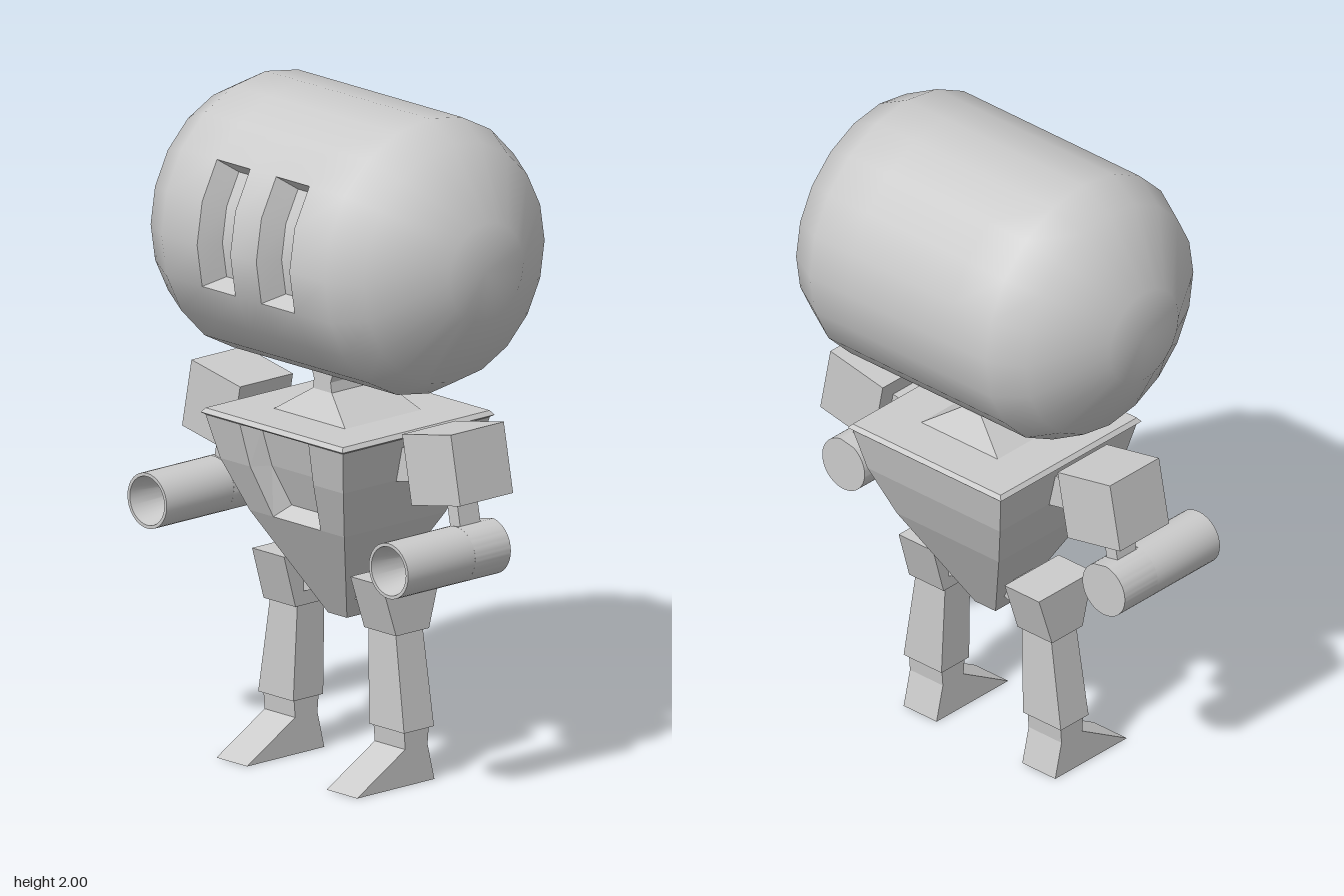
import * as THREE from 'three';
import { toCreasedNormals } from 'three/addons/utils/BufferGeometryUtils.js';

const grey = new THREE.MeshStandardMaterial({ color: 0xcccccc });

// Quads between rows of points (rows go up, points go left to right seen from outside)
function grid(rows, out = []) {
  for (let j = 0; j + 1 < rows.length; j++) {
    for (let i = 0; i + 1 < rows[j].length; i++) {
      const a = rows[j][i], b = rows[j][i + 1], c = rows[j + 1][i + 1], d = rows[j + 1][i];
      out.push(...a, ...b, ...c, ...a, ...c, ...d);
    }
  }
  return out;
}

function toGeometry(positions) {
  const g = new THREE.BufferGeometry();
  g.setAttribute('position', new THREE.Float32BufferAttribute(positions, 3));
  g.computeVertexNormals();
  return g;
}

// Closed loft through rectangles [y, x0, x1, z0, z1], listed from bottom to top
function loft(sections) {
  const ring = ([y, x0, x1, z0, z1]) =>
    [[x0, y, z1], [x1, y, z1], [x1, y, z0], [x0, y, z0], [x0, y, z1]];
  const rings = sections.map(ring);
  const out = grid(rings);
  const b = rings[0], t = rings[rings.length - 1];
  grid([[b[3], b[2]], [b[0], b[1]]], out);
  grid([[t[0], t[1]], [t[3], t[2]]], out);
  return toGeometry(out);
}

// Capsule head lying along x, with two eye recesses that follow its curve
function headGeometry() {
  const R = 0.412, floorR = 0.34, cy = 1.59;
  const end = [[0.585, 0], [0.585, 0.147], [0.45, 0.357], [0.345, R]];
  const left = end.map(([x, r]) => [-x, r]);
  const right = [...end].reverse();
  const eyes = [[-0.195, -0.055], [0.055, 0.195]];
  const dip = ([a, b]) => [[a, R], [a + 0.03, floorR], [b - 0.03, floorR], [b, R]];
  const plain = [...left, ...eyes.flat().map(x => [x, R]), ...right];
  const dipped = [...left, ...eyes.flatMap(dip), ...right];
  const at = ([x, r], i) => {
    const t = (i * Math.PI) / 10;
    return [x, cy + r * Math.sin(t), r * Math.cos(t)];
  };
  const rows = (profile, from, to) => {
    const list = [];
    for (let i = from; i <= to; i++) list.push(profile.map(p => at(p, i)));
    return list;
  };
  const out = grid(rows(dipped, -1, 2));
  grid(rows(plain, 2, 19), out);
  for (const eye of eyes) {
    const [a, b, c, d] = dip(eye);
    grid([[at(a, -1), at(d, -1)], [at(b, -1), at(c, -1)]], out);
    grid([[at(b, 2), at(c, 2)], [at(a, 2), at(d, 2)]], out);
  }
  return toCreasedNormals(toGeometry(out), 0.62);
}

// Inverted four-sided torso with a recessed chest panel in front
function torsoGeometry() {
  const sections = [[0.04, 0.45], [0.2, 0.755], [0.26, 0.91], [0.29, 1.04], [0.3, 1.047], [0.29, 1.06]];
  const turn = ([x, y, z], k) => [[x, y, z], [z, y, -x], [-x, y, -z], [-z, y, x]][k];
  const out = [];
  const row = (k, [h, y]) => [turn([-h, y, h], k), turn([h, y, h], k)];
  for (let k = 0; k < 4; k++) {
    if (k > 0) grid(sections.map(s => row(k, s)), out);
    else {
      grid(sections.slice(0, 2).map(s => row(0, s)), out);
      grid(sections.slice(3).map(s => row(0, s)), out);
    }
  }
  // chest panel rows: [rim half width, floor half width, floor y, floor z]
  const panel = [[0.1, 0.065, 0.79, 0.16], [0.133, 0.1, 0.91, 0.205], [0.145, 0.11, 1.025, 0.235]];
  const rows = panel.map(([w, f, fy, fz], i) => {
    const [h, y] = sections[i + 1];
    return [[-h, y, h], [-w, y, h], [-f, fy, fz], [f, fy, fz], [w, y, h], [h, y, h]];
  });
  grid(rows, out);
  const b = rows[0], t = rows[2];
  grid([[b[1], b[4]], [b[2], b[3]]], out);
  grid([[t[2], t[3]], [t[1], t[4]]], out);
  // top and bottom caps
  const cap = (h, y, s) => grid([[[-h, y, s * h], [h, y, s * h]], [[-h, y, -s * h], [h, y, -s * h]]], out);
  cap(0.29, 1.06, 1);
  cap(0.04, 0.45, -1);
  return toGeometry(out);
}

export function createModel() {
  const model = new THREE.Group();
  const add = (parent, name, geometry, x = 0, y = 0, z = 0, tilt = 0) => {
    const mesh = new THREE.Mesh(geometry, grey);
    mesh.name = name;
    mesh.position.set(x, y, z);
    mesh.rotation.z = tilt;
    parent.add(mesh);
  };

  add(model, 'head', headGeometry());
  add(model, 'torso', torsoGeometry());
  add(model, 'neck', loft([
    [1.06, -0.15, 0.15, -0.15, 0.15], [1.135, -0.04, 0.04, -0.1, 0.1],
    [1.165, -0.035, 0.035, -0.1, 0.1], [1.2, -0.047, 0.047, -0.1, 0.1],
  ]));

  for (const s of [1, -1]) {
    const side = s > 0 ? 'left' : 'right';
    const tilt = s * 0.19;
    const mirrored = list => loft(list.map(([y, a, b, z0, z1]) =>
      s > 0 ? [y, a, b, z0, z1] : [y, -b, -a, z0, z1]));

    // Arm: shoulder joint, block, rod and hollow barrel
    const arm = new THREE.Group();
    arm.name = side + 'Arm';
    model.add(arm);
    add(arm, 'shoulderJoint', new THREE.BoxGeometry(0.2, 0.1, 0.1), s * 0.3, 0.965, 0, tilt);
    add(arm, 'upperArm', new THREE.BoxGeometry(0.209, 0.209, 0.209), s * 0.465, 0.9925, 0, tilt);
    add(arm, 'armRod', new THREE.BoxGeometry(0.043, 0.14, 0.08), s * 0.494, 0.835, 0, tilt);
    const bore = [[0, 0.05], [0.083, 0.05], [0.083, 0.315], [0.073, 0.315], [0.035, 0.1], [0, 0.1]];
    const barrel = new THREE.LatheGeometry(bore.map(p => new THREE.Vector2(...p)), 32);
    barrel.rotateX(Math.PI / 2);
    add(arm, 'barrel', toCreasedNormals(barrel, 0.6), s * 0.51, 0.74);
    // Rear of the barrel has a wedge slot that takes the rod
    const slot = new THREE.Shape();
    slot.moveTo(0, 0);
    slot.absarc(0, 0, 0.083, Math.PI / 2 + tilt + 0.3, Math.PI * 2.5 + tilt - 0.3, false);
    slot.closePath();
    const rear = new THREE.ExtrudeGeometry(slot, { depth: 0.14, bevelEnabled: false, curveSegments: 32 });
    add(arm, 'barrelRear', toCreasedNormals(rear, 0.6), s * 0.51, 0.74, -0.09);

    // Leg: hip joint, thigh, shin and wedge foot
    const leg = new THREE.Group();
    leg.name = side + 'Leg';
    model.add(leg);
    add(leg, 'hipJoint', new THREE.BoxGeometry(0.13, 0.08, 0.08), s * 0.11, 0.545, 0, s * -0.3);
    add(leg, 'thigh', mirrored([
      [0.45, 0.145, 0.28, -0.06, 0.07], [0.61, 0.14, 0.275, -0.11, 0.12],
    ]));
    add(leg, 'shin', mirrored([
      [0.163, 0.16, 0.308, -0.053, 0.065], [0.455, 0.15, 0.265, -0.048, 0.058],
    ]));
    add(leg, 'foot', mirrored([
      [0, 0.168, 0.297, -0.065, 0.24], [0.11, 0.168, 0.297, -0.038, 0.05],
      [0.17, 0.168, 0.297, -0.043, 0.055],
    ]));
  }
  return model;
}
